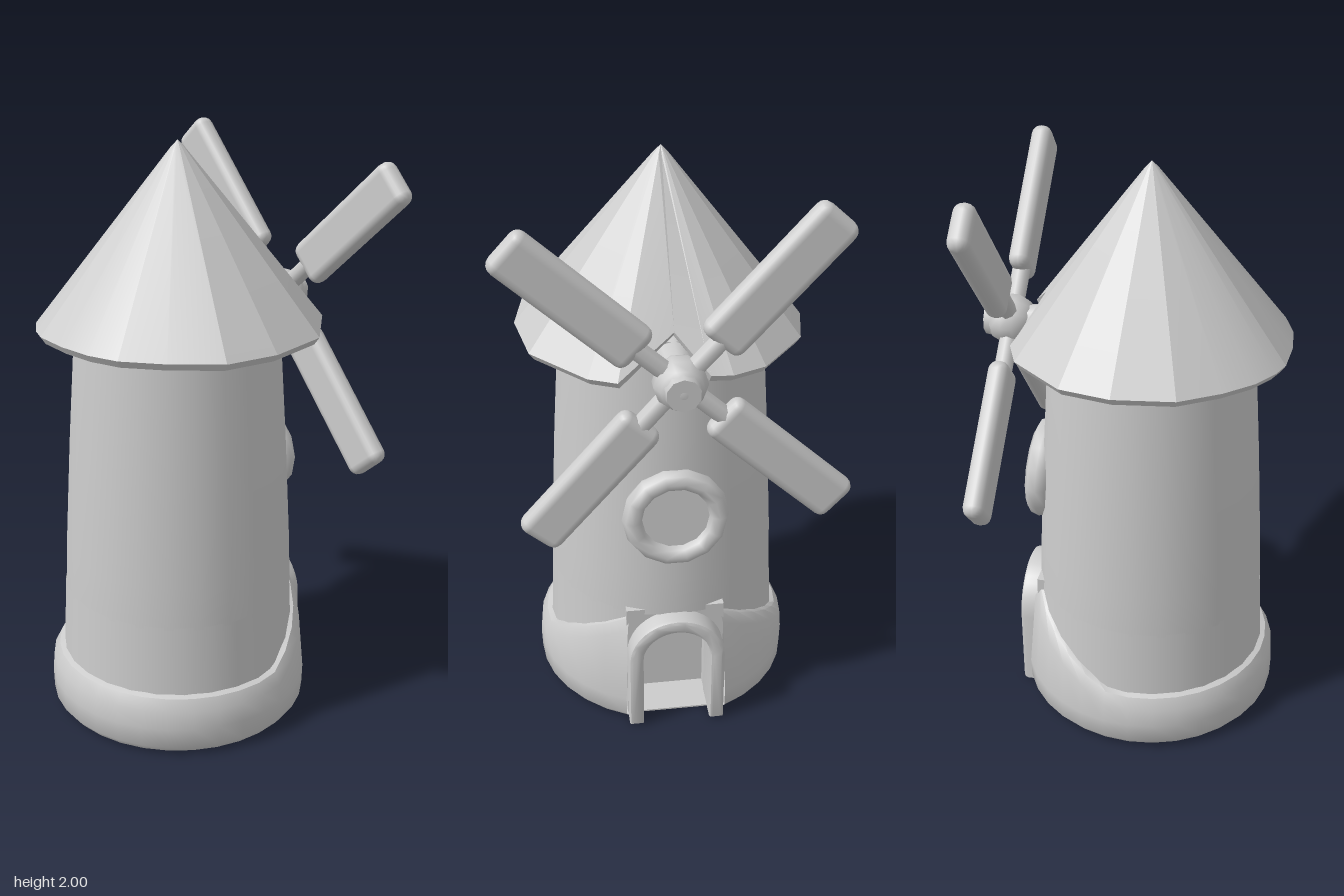
import * as THREE from 'three';
import { toCreasedNormals } from 'three/addons/utils/BufferGeometryUtils.js';
import { RoundedBoxGeometry } from 'three/addons/geometries/RoundedBoxGeometry.js';

const CZ = 0.045; // z of the tower axis
const GAP = 0.4; // half angle of the doorway gap

export function createModel() {
  const model = new THREE.Group();
  model.name = 'windmill';
  const clay = new THREE.MeshStandardMaterial({ color: 0xcccccc, side: THREE.DoubleSide });
  clay.name = 'light grey clay';

  const add = (name, geometry, x = 0, y = 0, z = 0, parent = model) => {
    const mesh = new THREE.Mesh(geometry, clay);
    mesh.name = name;
    mesh.position.set(x, y, z);
    parent.add(mesh);
    return mesh;
  };
  const lathe = (points, segments, gap = 0) => new THREE.LatheGeometry(
    points.map(([r, y]) => new THREE.Vector2(r, y)), segments, Math.PI + gap, 2 * (Math.PI - gap));

  // Tower wall, open at the doorway below 0.46
  add('towerWall', lathe([[0.4, 0.45], [0.395, 0.6], [0.372, 1], [0.346, 1.38], [0.338, 1.48]], 24), 0, 0, CZ);
  add('lowerWall', lathe([[0.415, 0.15], [0.41, 0.25], [0.4, 0.46]], 24, GAP), 0, 0, CZ);

  // Base skirt, whose top climbs towards the doorway at the back
  const skirt = lathe([[0, 0.005], [0.435, 0.005], [0.455, 0.03], [0.457, 0.1], [0.452, 0.165], [0.43, 0.205], [0.4, 0.215]], 28, GAP);
  const p = skirt.attributes.position;
  for (let i = 0; i < p.count; i++) {
    if (p.getY(i) < 0.12) continue;
    const fromBack = Math.abs(Math.atan2(p.getX(i), -p.getZ(i)));
    const rise = THREE.MathUtils.clamp((1.4 - fromBack) / 1, 0, 1);
    p.setY(i, p.getY(i) + 0.23 * rise);
    const s = 1 - 0.05 * rise;
    p.setX(i, p.getX(i) * s);
    p.setZ(i, p.getZ(i) * s);
  }
  add('baseSkirt', toCreasedNormals(skirt, 0.7), 0, 0, CZ);

  // Doorway: wall fill with an arched opening, raised arch, back wall and floor
  const arch = (path, w, spring) => {
    path.moveTo(-w, 0.006);
    path.lineTo(-w, spring);
    path.absarc(0, spring, w, Math.PI, 0, true);
    path.lineTo(w, 0.006);
    path.closePath();
    return path;
  };
  const fill = new THREE.Shape([[-0.17, 0], [0.17, 0], [0.17, 0.47], [-0.17, 0.47]].map(([x, y]) => new THREE.Vector2(x, y)));
  fill.holes.push(arch(new THREE.Path(), 0.12, 0.29));
  add('doorwayWall', new THREE.ExtrudeGeometry(fill, { depth: 0.14, bevelEnabled: false, curveSegments: 10 }), 0, 0, -0.34);

  const ring = new THREE.Shape();
  ring.moveTo(0.13, 0.015);
  ring.lineTo(0.13, 0.29);
  ring.absarc(0, 0.29, 0.13, 0, Math.PI, false);
  ring.lineTo(-0.13, 0.015);
  ring.lineTo(-0.157, 0.015);
  ring.lineTo(-0.157, 0.29);
  ring.absarc(0, 0.29, 0.157, Math.PI, 0, true);
  ring.lineTo(0.157, 0.015);
  ring.closePath();
  add('doorArch', toCreasedNormals(new THREE.ExtrudeGeometry(ring, {
    depth: 0.14, bevelThickness: 0.015, bevelSize: 0.012, bevelSegments: 2, curveSegments: 10,
  }), 0.7), 0, 0, -0.395);
  add('doorBack', new THREE.BoxGeometry(0.32, 0.46, 0.01), 0, 0.235, -0.195);
  add('floor', new THREE.BoxGeometry(0.26, 0.01, 0.25), 0, 0.012, -0.075);

  // Round window: chunky ring and a thin pane
  const frame = new THREE.TorusGeometry(0.145, 0.035, 8, 14);
  frame.scale(1, 1, 1.25);
  add('windowFrame', frame, 0, 0.85, -0.333).rotation.x = 0.05;
  add('windowPane', new THREE.CylinderGeometry(0.14, 0.14, 0.008, 14), 0, 0.85, -0.338).rotation.x = Math.PI / 2 + 0.05;

  // Roof: an uneven cone with a notch at the back for the axle
  const rim = [[0.19, -0.4], [0.28, -0.36], [0.45, -0.17], [0.488, 0.055], [0.455, 0.235], [0.335, 0.37], [0.215, 0.465],
    [0.11, 0.5], [-0.01, 0.51], [-0.14, 0.5], [-0.2, 0.475], [-0.28, 0.42], [-0.36, 0.33], [-0.44, 0.2], [-0.465, 0],
    [-0.43, -0.17], [-0.28, -0.35], [-0.17, -0.395], [-0.1, -0.39], [0.005, -0.315]];
  const n = rim.length;
  const verts = [];
  const index = [];
  const rings = [[0, 2, 0], [0.05, 1.975, 0], [1, 1.405, 0.12], [0.965, 1.38, 0.13], [0, 1.38, 0]];
  rings.forEach(([s, y, lift], k) => {
    rim.forEach(([x, z], i) => {
      verts.push(x * s, y + (i === n - 1 ? lift : 0), 0.04 + (z - 0.04) * s);
      const a = k * n + i;
      const b = k * n + (i + 1) % n;
      if (k < rings.length - 1) index.push(a, a + n, b, b, a + n, b + n);
    });
  });
  // Wind the faces outwards: the rim runs from the back round by +x
  for (let i = 0; i < index.length; i += 3) [index[i + 1], index[i + 2]] = [index[i + 2], index[i + 1]];
  const roof = new THREE.BufferGeometry();
  roof.setAttribute('position', new THREE.Float32BufferAttribute(verts, 3));
  roof.setIndex(index);
  roof.computeVertexNormals();
  add('roof', toCreasedNormals(roof, 0.24));

  // Sails: axle, hub and four paddles
  const sails = new THREE.Group();
  sails.name = 'sails';
  sails.position.set(0.003, 1.415, -0.435);
  model.add(sails);
  add('axle', new THREE.CylinderGeometry(0.05, 0.075, 0.2, 10), 0, 0, 0.11, sails).rotation.x = -Math.PI / 2;
  add('hub', new THREE.SphereGeometry(0.088, 10, 7), 0, 0, 0, sails).rotation.x = Math.PI / 2;
  add('hubCap', new THREE.CylinderGeometry(0.055, 0.06, 0.03, 10), 0, 0, -0.07, sails).rotation.x = -Math.PI / 2;
  [42.5, 132, 222.5, 311].forEach((degrees) => {
    const sail = new THREE.Group();
    sail.name = 'sail';
    sail.rotation.z = THREE.MathUtils.degToRad(degrees - 90);
    sails.add(sail);
    add('sailStem', new THREE.CylinderGeometry(0.032, 0.032, 0.16, 8), 0, 0.13, 0, sail);
    add('sailPaddle', new RoundedBoxGeometry(0.158, 0.535, 0.072, 2, 0.033), 0, 0.437, 0, sail);
  });
  return model;
}
